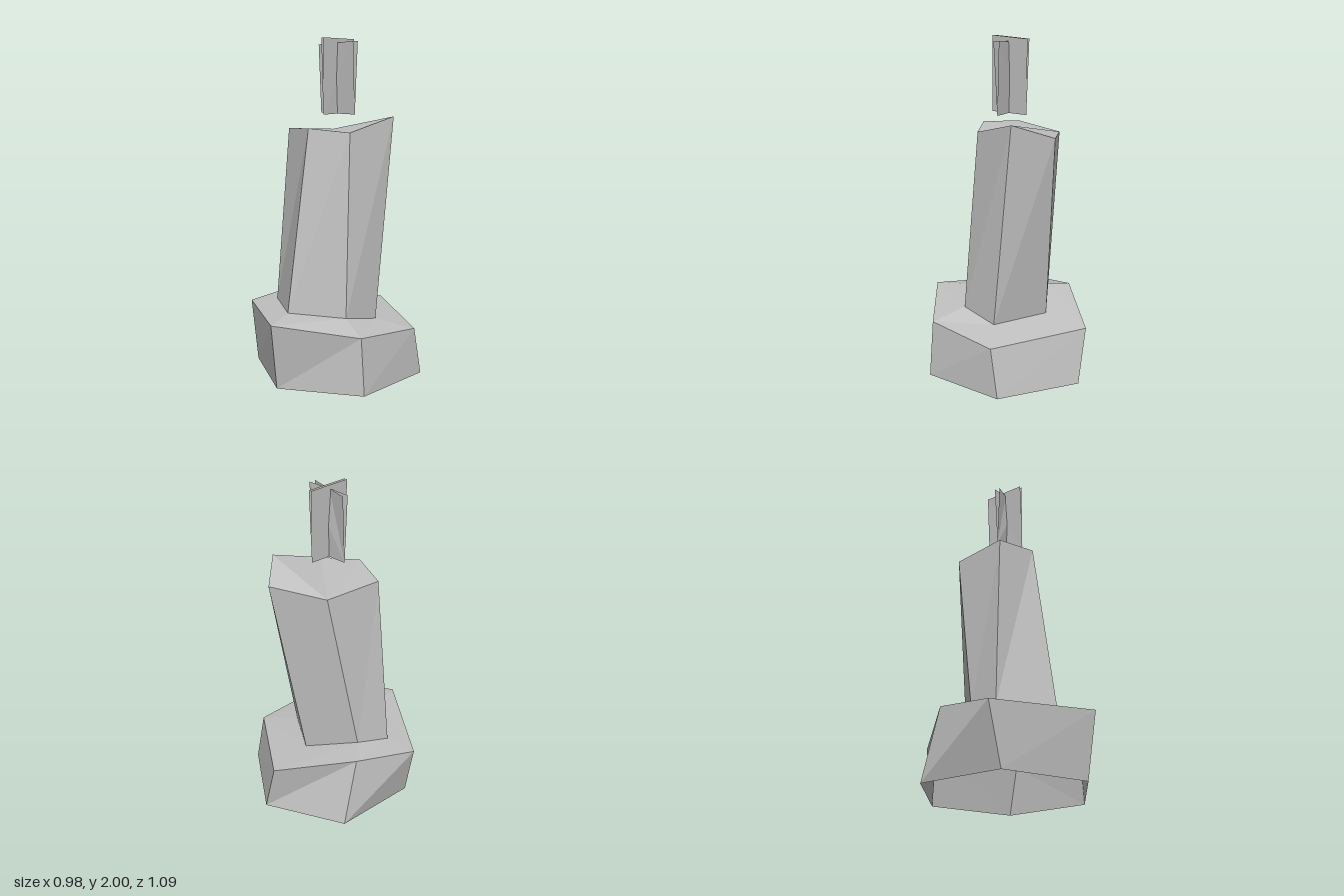
import * as THREE from 'three';

// Six-cornered cross-sections [x, y, z], starting at the front and turning towards +x
const foot = [[0.045, 0, 0.49], [0.49, 0, 0.23], [0.49, 0, -0.285], [0.045, 0, -0.545], [-0.405, 0, -0.285], [-0.405, 0, 0.23]];
const rim = [[0.06, 0.395, 0.545], [0.46, 0.335, 0.225], [0.48, 0.29, -0.23], [-0.04, 0.32, -0.535], [-0.39, 0.42, -0.18], [-0.49, 0.36, 0.205]];
const neck = [[-0.01, 0.41, 0.345], [0.265, 0.39, 0.14], [0.285, 0.34, -0.10], [-0.015, 0.36, -0.265], [-0.265, 0.43, -0.06], [-0.32, 0.395, 0.14]];
const crown = [[0.01, 1.485, 0.188], [0.22, 1.465, 0.063], [0.295, 1.545, -0.235], [0.114, 1.465, -0.404], [-0.186, 1.44, -0.228], [-0.235, 1.465, 0.107]];

// Triangles joining neighbouring rings
function skin(rings) {
  const tris = [];
  for (let r = 0; r < rings.length - 1; r++) {
    const a = rings[r], b = rings[r + 1], n = a.length;
    for (let i = 0; i < n; i++) {
      const j = (i + 1) % n;
      tris.push(a[i], a[j], b[j], a[i], b[j], b[i]);
    }
  }
  return tris;
}

function makeMesh(name, tris, material) {
  const geometry = new THREE.BufferGeometry();
  geometry.setAttribute('position', new THREE.Float32BufferAttribute(tris.flat(), 3));
  geometry.computeVertexNormals();
  const mesh = new THREE.Mesh(geometry, material);
  mesh.name = name;
  return mesh;
}

// Flat sheet from four corners
const sheet = (a, b, c, d) => [a, b, c, a, c, d];

export function createModel() {
  const group = new THREE.Group();
  group.name = 'candle';
  const grey = new THREE.MeshStandardMaterial({ color: 0xc0c0c0, side: THREE.DoubleSide, flatShading: true });
  grey.name = 'plain grey';

  // Hollow base, open underneath
  group.add(makeMesh('base', skin([foot, rim, neck]), grey));

  // Leaning column with an uneven top
  const cap = [[4, 2, 3], [4, 1, 2], [4, 0, 1], [4, 5, 0]].flat().map(i => crown[i]);
  group.add(makeMesh('column', skin([neck, crown]).concat(cap), grey));

  // Flame: two crossed blades, each a pair of sheets spreading from a shared lower edge
  const left = [-0.08, 1.56, -0.012], right = [0.165, 1.56, -0.038];
  group.add(makeMesh('wideFlameBlade', [
    ...sheet(left, right, [0.17, 1.98, -0.016], [-0.085, 1.96, -0.03]),
    ...sheet(left, right, [0.17, 1.98, -0.055], [-0.085, 1.96, 0.004]),
  ], grey));

  const front = [0.04, 1.56, 0.095], back = [0.04, 1.56, -0.15];
  group.add(makeMesh('deepFlameBlade', [
    ...sheet(front, back, [0.045, 1.99, -0.16], [0.04, 2, 0.093]),
    ...sheet(front, back, [0.028, 1.99, -0.16], [0.023, 2, 0.093]),
  ], grey));

  return group;
}
